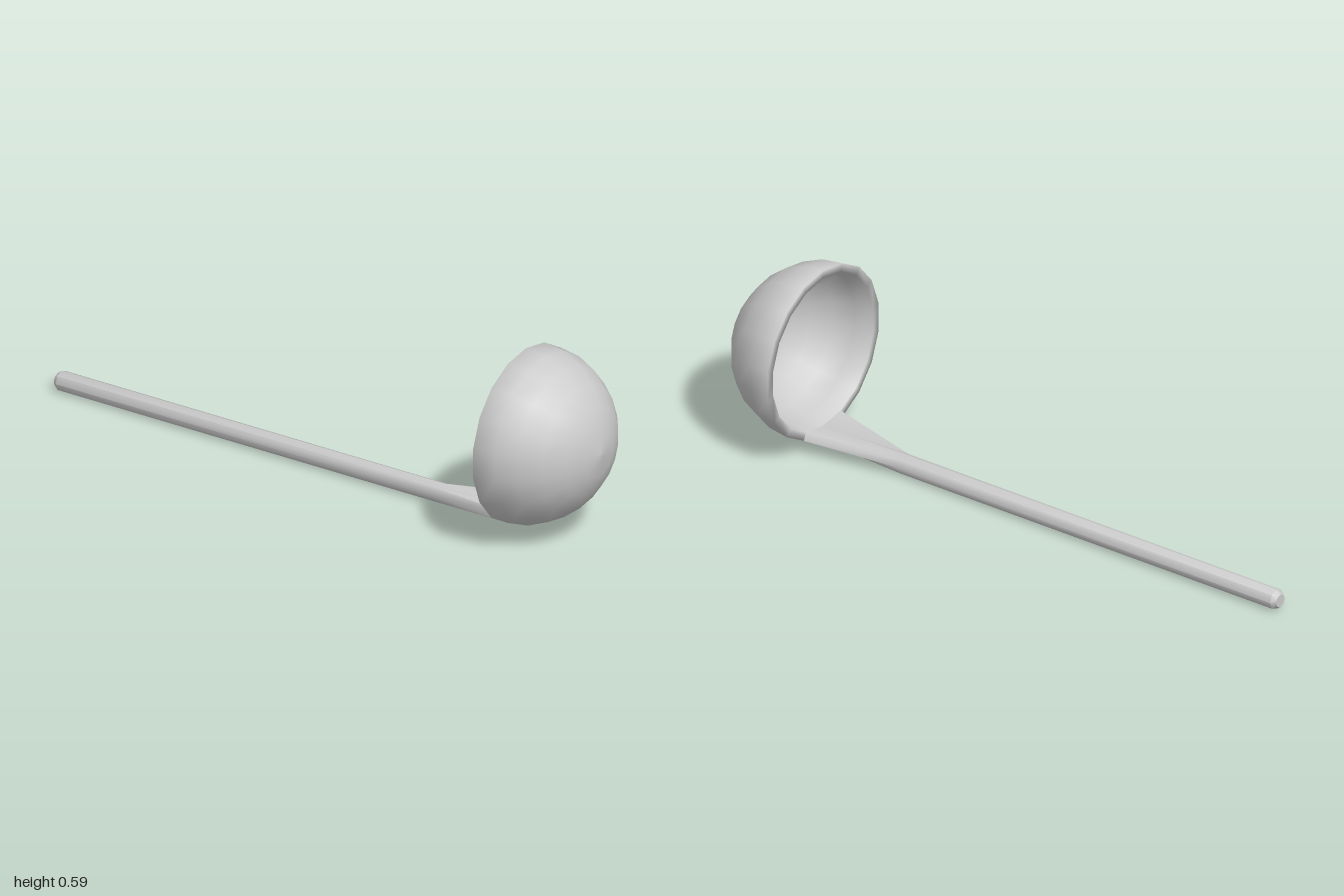
import * as THREE from 'three';
import { toCreasedNormals } from 'three/addons/utils/BufferGeometryUtils.js';

const MAT = new THREE.MeshStandardMaterial({ color: 0xcccccc });
const RIM_Z = 0.72, BOWL_Y = 0.313, OUTER = 0.279, INNER = 0.252;
const GRIP_R = 0.032;

// Skin a tube through cross-sections (counter-clockwise seen from +z, ordered along +z)
function loft(sections) {
  const n = sections[0].length;
  const positions = sections.flat(2);
  const index = [];
  for (let i = 0; i < sections.length - 1; i++) {
    for (let j = 0; j < n; j++) {
      const a = i * n + j, b = i * n + (j + 1) % n;
      index.push(a, b, a + n, b, b + n, a + n);
    }
  }
  // close the first section
  for (let j = 1; j < n - 1; j++) index.push(0, j + 1, j);
  const g = new THREE.BufferGeometry();
  g.setAttribute('position', new THREE.Float32BufferAttribute(positions, 3));
  g.setIndex(index);
  return toCreasedNormals(g, THREE.MathUtils.degToRad(50));
}

// Octagon with a corner pointing straight down
function octagon(r, z) {
  return Array.from({ length: 8 }, (_, j) => {
    const a = j * Math.PI / 4;
    return [r * Math.cos(a), GRIP_R + r * Math.sin(a), z];
  });
}

// Point on the bowl rim, angle in degrees from the bottom
function rimPoint(r, deg) {
  const a = THREE.MathUtils.degToRad(deg);
  return [r * Math.sin(a), BOWL_Y - r * Math.cos(a), RIM_Z];
}

export function createModel() {
  const group = new THREE.Group();

  // Hollow hemispherical bowl: inner wall, rim, outer wall
  const profile = [];
  const steps = 6;
  for (let i = steps; i >= 0; i--) {
    const a = i / steps * Math.PI / 2;
    profile.push(new THREE.Vector2(i === steps ? 0 : INNER * Math.cos(a), INNER * Math.sin(a)));
  }
  for (let i = 0; i <= steps; i++) {
    const a = i / steps * Math.PI / 2;
    profile.push(new THREE.Vector2(i === steps ? 0 : OUTER * Math.cos(a), OUTER * Math.sin(a)));
  }
  const bowl = new THREE.Mesh(new THREE.LatheGeometry(profile, 18).rotateX(Math.PI / 2), MAT);
  bowl.position.set(0, BOWL_Y, RIM_Z);
  bowl.name = 'bowl';
  group.add(bowl);

  // Handle with bevelled end, flaring into the lower rim of the bowl
  const flare = [
    rimPoint(OUTER, 20), rimPoint(INNER, 20), rimPoint(INNER, 0), rimPoint(INNER, -20),
    rimPoint(OUTER, -20),
    [-0.0477, 0.0423, RIM_Z], rimPoint(OUTER, 0), [0.0477, 0.0423, RIM_Z],
  ];
  const handle = new THREE.Mesh(loft([
    octagon(0.021, -1),
    octagon(GRIP_R, -0.985),
    octagon(GRIP_R, 0.415),
    flare,
  ]), MAT);
  handle.name = 'handle';
  group.add(handle);

  return group;
}
